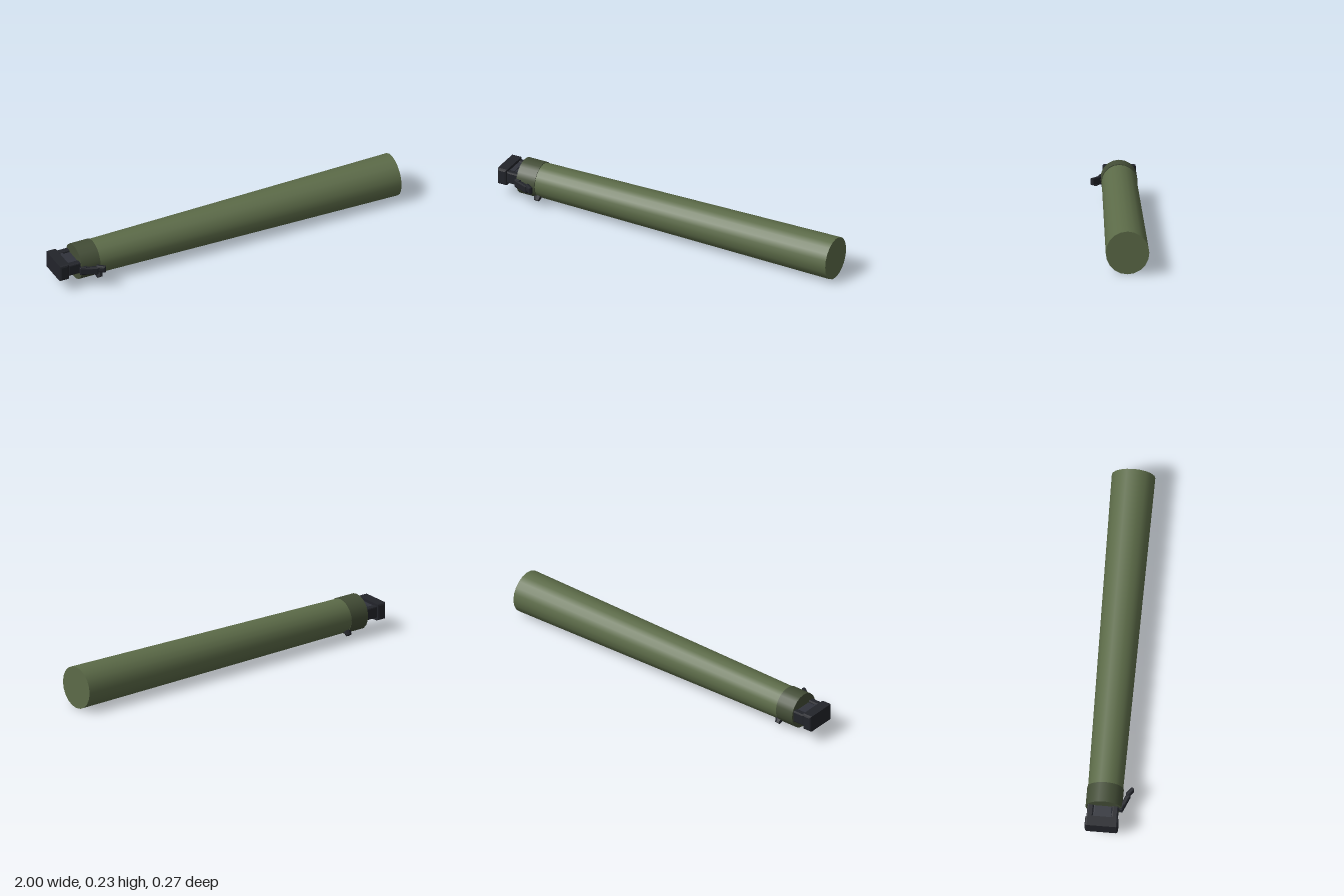
import * as THREE from 'three';

const material = (color) => new THREE.MeshStandardMaterial({ color });
const AXIS_Y = 0.117, AXIS_Z = -0.017;

export function createModel() {
  const model = new THREE.Group();
  const green = material(0x5c6b48), darkGreen = material(0x434d36);
  const black = material(0x22242a), grey = material(0x30333b);
  black.flatShading = grey.flatShading = true;

  const add = (name, geometry, mat, parent = model) => {
    const mesh = new THREE.Mesh(geometry, mat);
    mesh.name = name;
    parent.add(mesh);
    return mesh;
  };

  // Round section along x, from x0 (radius r0) to x1 (radius r1)
  const barrel = (name, x0, r0, x1, r1, mat) => {
    const g = new THREE.CylinderGeometry(r0, r1, x1 - x0, 20).rotateZ(Math.PI / 2);
    add(name, g, mat).position.set((x0 + x1) / 2, AXIS_Y, AXIS_Z);
  };

  // Box with bevelled edges, centred on its origin
  const bevelBox = (w, h, d, b) => {
    const x = w / 2 - b, y = h / 2 - b;
    const s = new THREE.Shape([[-x, -y], [x, -y], [x, y], [-x, y]].map((p) => new THREE.Vector2(...p)));
    return new THREE.ExtrudeGeometry(s, {
      depth: d - 2 * b, bevelSize: b, bevelThickness: b, bevelSegments: 2,
    }).translate(0, 0, b - d / 2);
  };

  barrel('tube', -0.775, 0.0935, 1, 0.116, green);
  barrel('rearCollar', -0.878, 0.0975, -0.768, 0.0975, darkGreen);

  // Shoulder rest behind the collar
  add('shoulderPad', bevelBox(0.055, 0.093, 0.178, 0.011), black).position.set(-0.9725, 0.119, -0.021);
  add('padMount', bevelBox(0.035, 0.06, 0.12, 0.006), grey).position.set(-0.935, 0.12, -0.021);
  add('padBlock', bevelBox(0.06, 0.05, 0.1, 0.006), grey).position.set(-0.9, 0.121, -0.021);
  for (const side of [-1, 1]) {
    const arm = add(side > 0 ? 'frontPadArm' : 'backPadArm', bevelBox(0.075, 0.066, 0.034, 0.007), black);
    arm.position.set(-0.91, 0.121, -0.021 + side * 0.066);
  }

  // Angled lever on the front side of the collar
  const lever = new THREE.Group();
  lever.name = 'sideLever';
  lever.position.set(-0.84, 0.112, 0.09);
  lever.rotation.y = -0.4;
  model.add(lever);
  add('leverBar', bevelBox(0.1, 0.042, 0.024, 0.006), black, lever);
  add('leverHinge', bevelBox(0.03, 0.052, 0.03, 0.006), black, lever).position.set(-0.03, 0, -0.006);
  const tip = add('leverTip', bevelBox(0.05, 0.038, 0.025, 0.009), black, lever);
  tip.position.set(0.063, 0.009, -0.0005);
  tip.rotation.y = -0.25;

  // Pair of low studs under the collar's front edge
  for (const side of [-1, 1]) {
    const holder = new THREE.Group();
    holder.name = side > 0 ? 'frontStud' : 'backStud';
    holder.position.set(-0.764, AXIS_Y, AXIS_Z);
    holder.rotation.x = -side * 0.74;
    model.add(holder);
    const stud = add('stud', new THREE.CylinderGeometry(0.026, 0.016, 0.034, 8), black, holder);
    stud.position.y = -0.1;
    stud.scale.z = 0.8;
  }
  return model;
}
